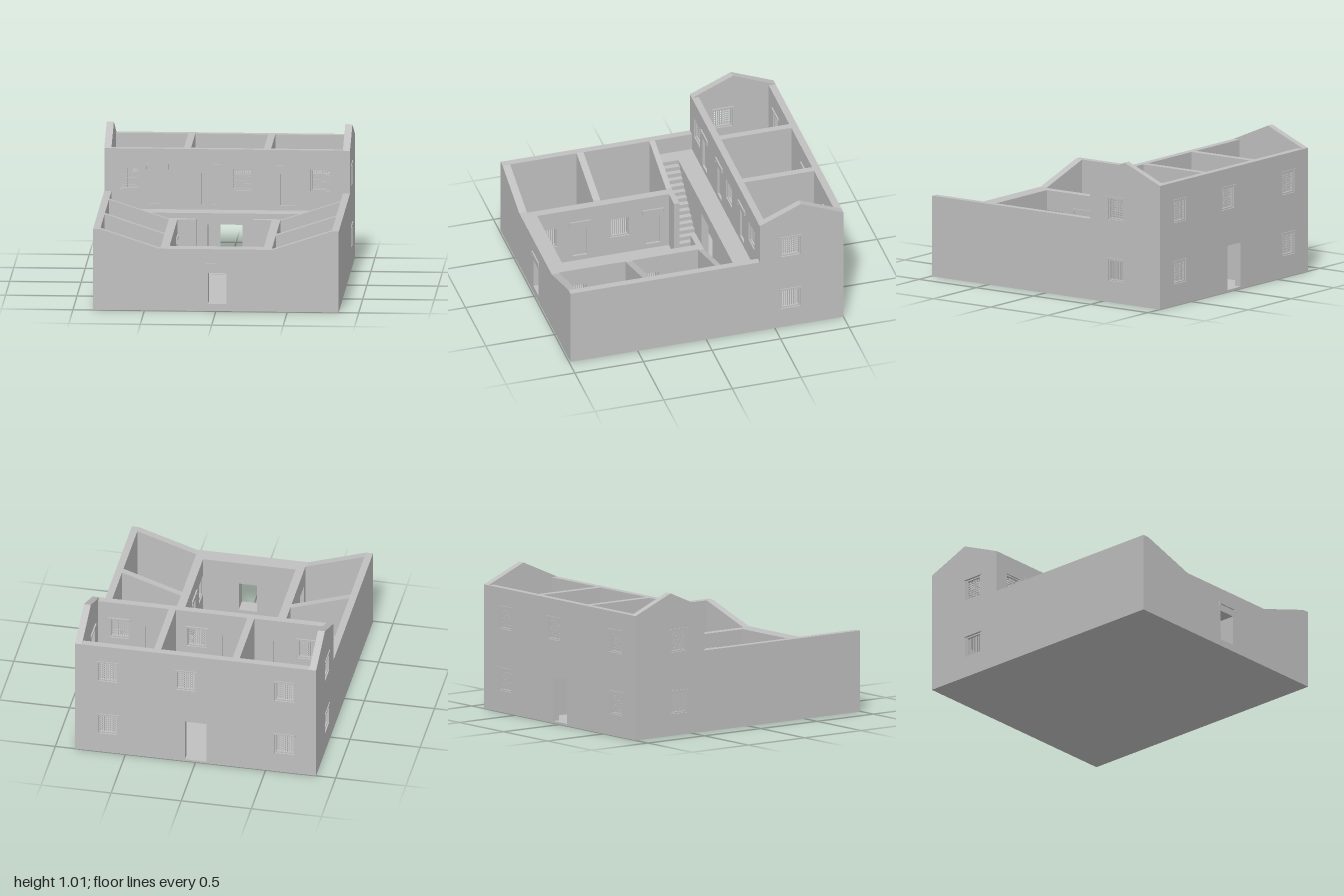
import * as THREE from 'three';
import { mergeGeometries } from 'three/addons/utils/BufferGeometryUtils.js';

const stone = new THREE.MeshStandardMaterial({ color: 0xbfbfbf });
stone.name = 'stone grey';

export function createModel() {
  const model = new THREE.Group();
  model.name = 'courtyardHouse';

  function add(name, geometry, parent = model) {
    const mesh = new THREE.Mesh(geometry, stone);
    mesh.name = name;
    parent.add(mesh);
    return mesh;
  }
  const boxGeo = (x0, x1, y0, y1, z0, z1) =>
    new THREE.BoxGeometry(x1 - x0, y1 - y0, z1 - z0)
      .translate((x0 + x1) / 2, (y0 + y1) / 2, (z0 + z1) / 2);
  const box = (name, ...b) => add(name, boxGeo(...b));

  // Wall outline in (u, y) with rectangular holes [u0, u1, y0, y1]
  function wallGeo(outline, holes, depth) {
    const shape = new THREE.Shape(outline.map(([u, y]) => new THREE.Vector2(u, y)));
    for (const [a, b, c, d] of holes) {
      shape.holes.push(new THREE.Path([[a, c], [a, d], [b, d], [b, c]]
        .map(([u, y]) => new THREE.Vector2(u, y))));
    }
    return new THREE.ExtrudeGeometry(shape, { depth, bevelEnabled: false });
  }
  const rect = (a, b, c, d) => [[a, c], [b, c], [b, d], [a, d]];
  // Wall running along x, from z0 to z1
  function wallX(name, outline, z0, z1, holes = []) {
    add(name, wallGeo(outline, holes, z1 - z0)).position.z = z0;
  }
  // Wall running along z, from x0 to x1
  function wallZ(name, outline, x0, x1, holes = []) {
    const m = add(name, wallGeo(outline, holes, x1 - x0));
    m.rotation.y = -Math.PI / 2;
    m.position.x = x1;
  }

  // Fittings are modelled facing +z in a wall whose outer face is z = 0
  function place(group, x, y, z, angle) {
    group.position.set(x, y, z);
    group.rotation.y = angle;
    model.add(group);
  }
  const T = 0.05;
  function windowAt(x, y, z, angle, grid, sides) {
    const g = new THREE.Group();
    g.name = 'barredWindow';
    const w = 0.07, h = 0.077, parts = [];
    // frame
    parts.push(boxGeo(-w, w, h - 0.01, h, -0.04, -0.01), boxGeo(-w, w, -h, 0.01 - h, -0.04, -0.01));
    for (const s of [-1, 1]) parts.push(boxGeo(s * (w - 0.005) - 0.005, s * (w - 0.005) + 0.005, 0.01 - h, h - 0.01, -0.04, -0.01));
    // bars
    const n = 8;
    for (let i = 1; i < n; i++) {
      const u = -0.06 + (0.12 * i) / n, v = -0.067 + (0.134 * i) / n;
      parts.push(boxGeo(u - 0.003, u + 0.003, 0.01 - h, h - 0.01, -0.028, -0.022));
      if (grid) parts.push(boxGeo(0.01 - w, w - 0.01, v - 0.003, v + 0.003, -0.027, -0.021));
    }
    add('windowBars', mergeGeometries(parts), g);
    // mouldings above the opening on the chosen wall faces
    if (sides.includes('out')) add('windowMoulding', boxGeo(-0.08, 0.08, h, h + 0.012, 0, 0.006), g);
    if (sides.includes('in')) add('windowMoulding', boxGeo(-0.08, 0.08, h, h + 0.012, -T - 0.01, -T), g);
    place(g, x, y, z, angle);
  }
  // Closed door leaf and hood; y is the sill height
  function doorAt(x, y, z, angle, leaf = true) {
    const g = new THREE.Group();
    g.name = 'door';
    if (leaf) add('doorLeaf', boxGeo(-0.052, 0.052, 0, 0.225, -0.035, -0.015), g);
    add('doorHood', boxGeo(-0.08, 0.08, 0.27, 0.287, 0, 0.01), g);
    for (const s of [-1, 1]) add('hoodEnd', boxGeo(s * 0.077 - 0.003, s * 0.077 + 0.003, 0.25, 0.27, 0, 0.01), g);
    place(g, x, y, z, angle);
  }
  const hole = (u, y) => [u - 0.07, u + 0.07, y - 0.077, y + 0.077];
  const doorHole = (u, y) => [u - 0.052, u + 0.052, y, y + 0.225];

  const LOW = 0.23, HIGH = 0.667;

  // Ground slab
  box('groundSlab', -0.86, 0.86, 0, 0.012, -1, 0.99);

  // Rear wing, long walls
  const backX = [-0.635, 0.07, 0.625];
  const backHoles = backX.map(x => hole(x, HIGH));
  backHoles.push(hole(backX[0], LOW), hole(backX[2], LOW), [-0.08, 0.075, 0.015, 0.33]);
  wallX('backWall', rect(-0.81, 0.81, 0, 0.88), -1, -0.95, backHoles);
  backX.forEach((x, i) => {
    windowAt(x, HIGH, -1, Math.PI, true, 'out in');
    if (i !== 1) windowAt(x, LOW, -1, Math.PI, true, 'out in');
  });
  const frontX = [-0.685, 0.105, 0.655], doorX = [-0.492, -0.13, 0.423];
  wallX('wingFrontWall', rect(-0.81, 0.81, 0, 0.88), -0.44, -0.39,
    [...frontX.map(x => hole(x, HIGH)), ...doorX.map(x => doorHole(x, 0.485)), [-0.13, 0.14, 0.013, 0.37]]);
  frontX.forEach(x => windowAt(x, HIGH, -0.39, 0, true, 'in'));
  doorX.forEach(x => doorAt(x, 0.485, -0.39, 0));

  // Rear wing, gables, partitions and upper floor
  for (const s of [-1, 1]) {
    const x0 = s > 0 ? 0.81 : -0.86;
    wallZ('gableWall', [[-1, 0], [-0.39, 0], [-0.39, 0.88], [-0.69, 1.01], [-1, 0.88]],
      x0, x0 + T, [hole(-0.615, HIGH), hole(-0.615, LOW)]);
    windowAt(s * 0.86, HIGH, -0.615, s * Math.PI / 2, true, 'out in');
    windowAt(s * 0.86, LOW, -0.615, s * Math.PI / 2, false, 'out in');
    box('partition', s * 0.28 - 0.025, s * 0.28 + 0.025, 0.012, 0.88, -0.95, -0.44);
  }
  box('upperFloor', -0.81, 0.81, 0.42, 0.445, -0.95, -0.44);

  // Raised walkway over a wall with a wide passage
  box('walkway', -0.81, 0.81, 0.42, 0.45, -0.39, -0.26);
  wallX('walkwayWall', rect(-0.81, 0.81, 0, 0.42), -0.31, -0.26, [[-0.13, 0.14, 0.013, 0.37]]);

  // Front wall dips towards the middle
  const frontDoor = [-0.055, 0.075, 0.05, 0.27];
  wallX('frontWall', [[-0.86, 0], [0.86, 0], [0.86, 0.575], [0.81, 0.575], [0.4, 0.44],
    [-0.4, 0.44], [-0.81, 0.575], [-0.86, 0.575]], 0.935, 0.99, [frontDoor]);
  wallX('frontWallLining', rect(-0.33, 0.33, 0, 0.44), 0.88, 0.935, [frontDoor]);
  doorAt(0.01, 0.05, 0.99, 0, false);

  // Side wings, stairs: mirrored
  for (const s of [-1, 1]) {
    const outer = s > 0 ? 0.81 : -0.86, inner = s > 0 ? 0.33 : -0.39;
    box('sideWall', outer, outer + T, 0, 0.575, -0.39, 0.935);

    // courtyard wall with two doors and two windows
    const winZ = [0.28, 0.805], doorZ = [0.035, 0.567];
    wallZ('courtyardWall', rect(-0.08, 0.935, 0, 0.44), inner, inner + 0.06,
      [...winZ.map(z => hole(z, LOW)), ...doorZ.map(z => doorHole(z, 0.05))]);
    winZ.forEach(z => windowAt(s * 0.33, LOW, z, -s * Math.PI / 2, false, 'in'));
    doorZ.forEach(z => doorAt(s * 0.33, 0.05, z, -s * Math.PI / 2));

    // cross walls with sloping tops
    const sloped = end => {
      const pts = [[end, 0], [0.81, 0], [0.81, 0.575], [0.4, 0.44], [end, 0.44]];
      return s > 0 ? pts : pts.map(([x, y]) => [-x, y]);
    };
    wallX('roomWall', sloped(0.39), 0.4, 0.45);
    wallX('stairWall', sloped(0.2), -0.12, -0.08);

    // staircase rising outward to a landing
    const steps = [[0.2, 0.012]], n = 15;
    for (let i = 0; i < n; i++) {
      const y = 0.012 + ((i + 1) * 0.438) / n;
      steps.push([0.2 + i * 0.036, y], [0.2 + (i + 1) * 0.036, y]);
    }
    steps.push([0.81, 0.45], [0.81, 0.012]);
    wallX('staircase', steps.map(([x, y]) => [s * x, y]), -0.26, -0.12);
  }

  return model;
}
